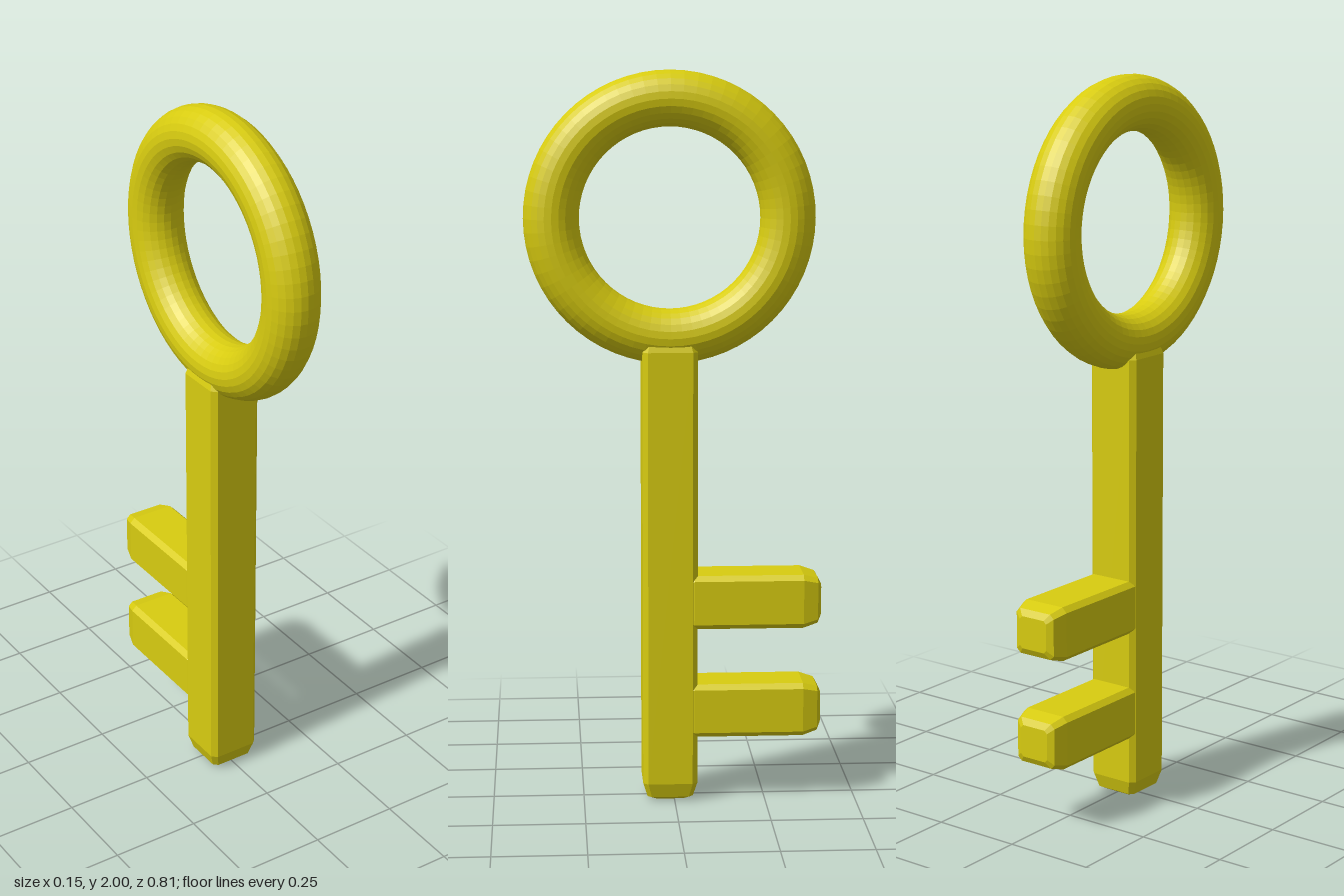
import * as THREE from 'three';

const material = new THREE.MeshStandardMaterial({ color: 0xd8cc10, flatShading: true });

// Square bar with chamfered edges and softly tapered ends, running along +y from 0 to length
function barGeometry(length, half) {
  const stations = [
    [0, 0.6], [0.01, 0.84], [0.05, 1],
    [length - 0.05, 1], [length - 0.01, 0.84], [length, 0.6],
  ];
  const a = half, b = half - 0.014;
  const ring = [[a, -b], [a, b], [b, a], [-b, a], [-a, b], [-a, -b], [-b, -a], [b, -a]];
  const n = ring.length, positions = [], index = [];
  for (const [y, s] of stations) for (const [x, z] of ring) positions.push(x * s, y, z * s);
  for (let i = 0; i < stations.length - 1; i++) {
    for (let j = 0; j < n; j++) {
      const p = i * n + j, q = i * n + (j + 1) % n;
      index.push(p, p + n, q, q, p + n, q + n);
    }
  }
  // End caps
  const top = (stations.length - 1) * n;
  for (let j = 1; j < n - 1; j++) {
    index.push(0, j, j + 1);
    index.push(top, top + j + 1, top + j);
  }
  const geometry = new THREE.BufferGeometry();
  geometry.setAttribute('position', new THREE.Float32BufferAttribute(positions, 3));
  geometry.setIndex(index);
  geometry.computeVertexNormals();
  return geometry;
}

export function createModel() {
  const key = new THREE.Group();
  key.name = 'key';
  const add = (name, geometry, x, y, z) => {
    const mesh = new THREE.Mesh(geometry, material);
    mesh.name = name;
    mesh.position.set(x, y, z);
    key.add(mesh);
    return mesh;
  };

  // Ring handle, standing in the yz plane
  add('bow', new THREE.TorusGeometry(0.319, 0.075, 24, 64), 0, 1.606, 0.01).rotation.y = Math.PI / 2;

  // Long shaft, its top sunk into the ring
  add('shaft', barGeometry(1.3, 0.075), 0, 0, 0.012);

  // Two teeth pointing backwards
  [0.56, 0.255].forEach((y, i) => {
    add(i ? 'lowerTooth' : 'upperTooth', barGeometry(0.4, 0.0745), 0, y, -0.004).rotation.x = -Math.PI / 2;
  });

  return key;
}
